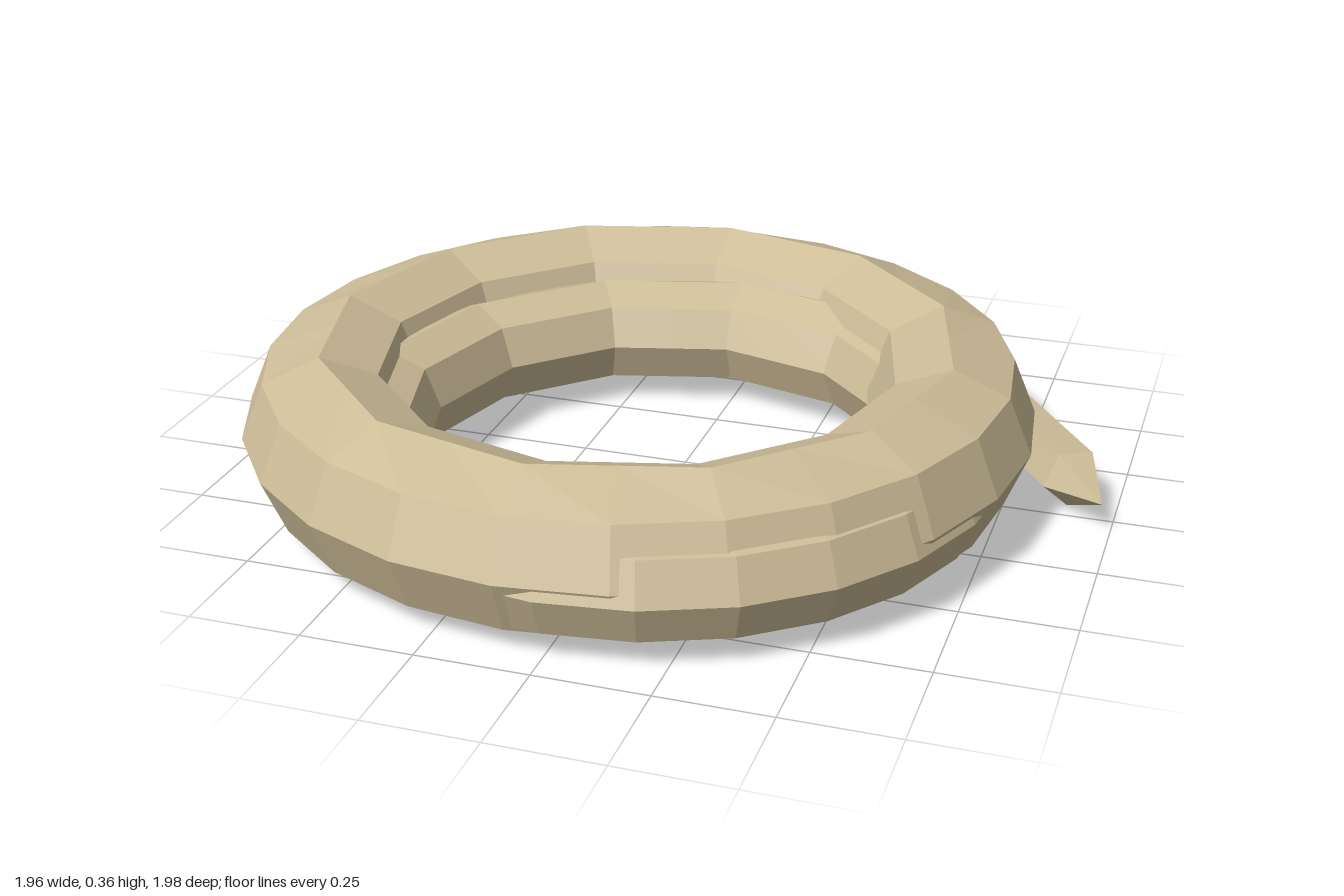
import * as THREE from 'three';

const rope = new THREE.MeshStandardMaterial({ color: 0xcdbd98, flatShading: true });

// Octagonal coil: 24 sides around the outside, 12 around the top, bottom and inside
function coil(name, radius, tube, x, y, z) {
  const profile = [];
  for (let i = 0; i <= 8; i++) {
    const a = -Math.PI / 2 + (i * Math.PI) / 4;
    profile.push(new THREE.Vector2(radius + tube * Math.cos(a), tube * Math.sin(a)));
  }
  const geometry = new THREE.LatheGeometry(profile, 24);
  const pos = geometry.attributes.position;
  const flatten = Math.cos(Math.PI / 12);
  for (let i = 0; i < pos.count; i++) {
    const side = Math.floor(i / profile.length);
    const r = profile[i % profile.length].x;
    if (side % 2 === 1 && r < radius + tube * 0.5) {
      pos.setX(i, pos.getX(i) * flatten);
      pos.setZ(i, pos.getZ(i) * flatten);
    }
  }
  geometry.computeVertexNormals();
  const mesh = new THREE.Mesh(geometry, rope);
  mesh.name = name;
  mesh.position.set(x, y, z);
  return mesh;
}

// Five-sided loose end with a pointed tip, lying along local +z
function looseEnd() {
  const group = new THREE.Group();
  group.name = 'looseEnd';
  const radius = 0.071, length = 1.106, tipLength = 0.147;
  const start = THREE.MathUtils.degToRad(66);
  const shaft = new THREE.Mesh(
    new THREE.CylinderGeometry(radius, radius, length, 5, 1, false, start).rotateX(Math.PI / 2), rope);
  shaft.name = 'shaft';
  shaft.position.z = length / 2;
  const tip = new THREE.Mesh(
    new THREE.ConeGeometry(radius, tipLength, 5, 1, false, start).rotateX(Math.PI / 2), rope);
  tip.name = 'tip';
  tip.position.z = length + tipLength / 2;
  group.add(shaft, tip);
  group.position.set(0.26, 0.079, -0.955);
  group.rotation.y = Math.atan2(0.574, 0.818);
  return group;
}

export function createModel() {
  const model = new THREE.Group();
  model.name = 'coiledRope';
  model.add(
    coil('outerCoil', 0.72, 0.18, -0.08, 0.185, 0.09),
    coil('innerCoil', 0.657, 0.128, 0, 0.16, 0.2),
    looseEnd()
  );
  return model;
}
